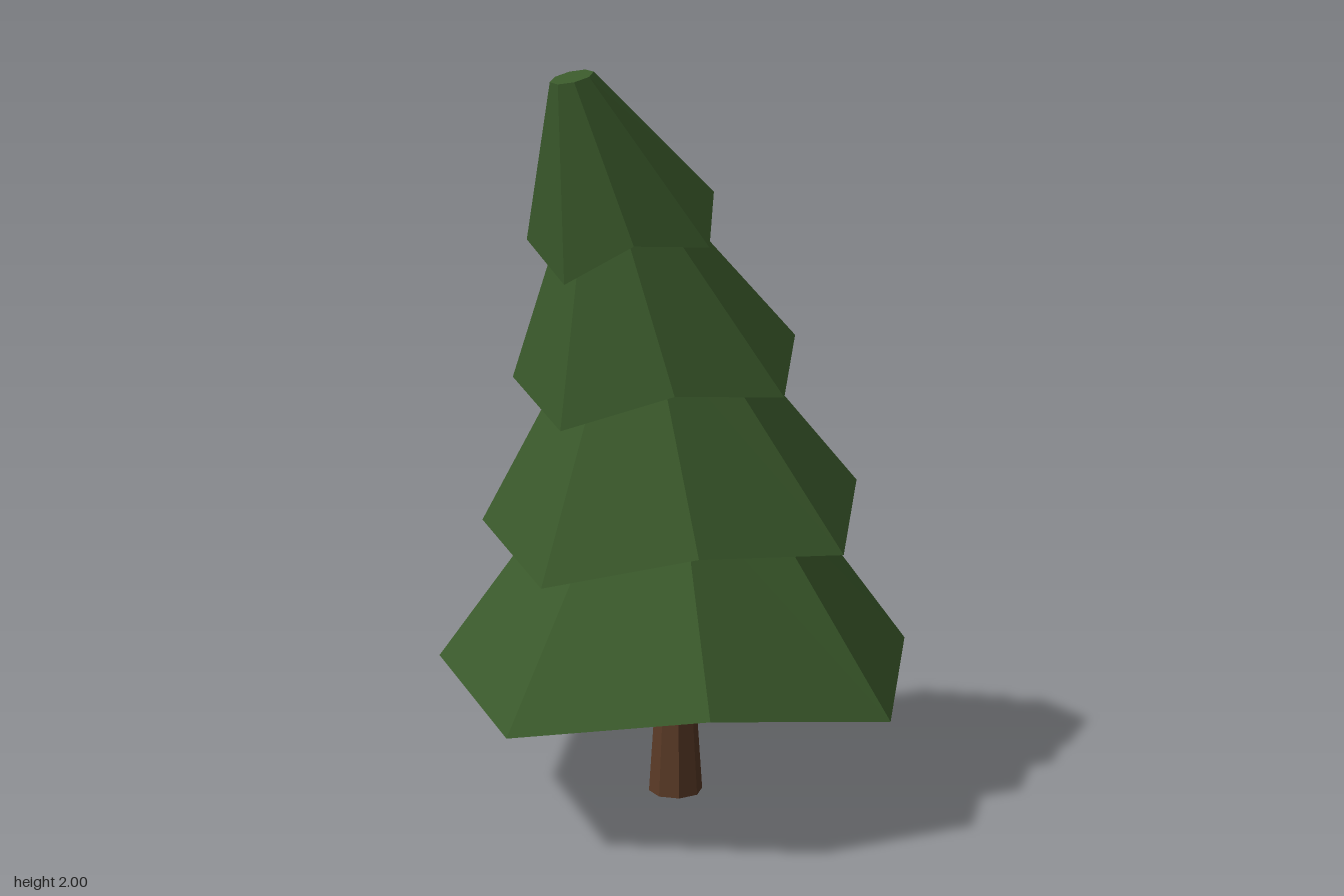
import * as THREE from 'three';

const SIDES = 8;

// One tilted ring of points; odd corners can be pulled in and lifted to scallop the rim.
function ring({ x, y, r, tilt }, lift = 0, pull = 1) {
  const axis = new THREE.Vector3(0, 0, 1);
  return Array.from({ length: SIDES }, (_, i) => {
    const a = (i / SIDES) * Math.PI * 2;
    const odd = i % 2 === 1;
    const rad = odd ? r * pull : r;
    return new THREE.Vector3(Math.cos(a) * rad, odd ? lift : 0, Math.sin(a) * rad)
      .applyAxisAngle(axis, THREE.MathUtils.degToRad(tilt))
      .add(new THREE.Vector3(x, y, 0));
  });
}

// Closed skirt of foliage between a scalloped lower rim and a small upper ring.
function tierGeometry(base, top) {
  const low = ring(base, 0.075, 0.935);
  const high = ring(top);
  const lowMid = new THREE.Vector3(base.x, base.y, 0);
  const highMid = new THREE.Vector3(top.x, top.y, 0);
  const points = [];
  for (let i = 0; i < SIDES; i++) {
    const j = (i + 1) % SIDES;
    points.push(low[i], high[i], high[j], low[i], high[j], low[j]);
    points.push(lowMid, low[i], low[j]);
    points.push(highMid, high[j], high[i]);
  }
  const geometry = new THREE.BufferGeometry().setFromPoints(points);
  geometry.computeVertexNormals();
  return geometry;
}

export function createModel() {
  const tree = new THREE.Group();
  tree.name = 'leaningPineTree';

  const bark = new THREE.MeshStandardMaterial({ color: 0x5a3a26, flatShading: true });
  const needles = new THREE.MeshStandardMaterial({ color: 0x3a592b, flatShading: true });

  // Trunk, flared at the foot
  const profile = [[0, 0], [0.076, 0], [0.061, 0.22], [0.062, 0.4], [0, 0.4]]
    .map(([r, y]) => new THREE.Vector2(r, y));
  const trunk = new THREE.Mesh(new THREE.LatheGeometry(profile, SIDES), bark);
  trunk.name = 'trunk';
  tree.add(trunk);

  // Foliage tiers, leaning further towards -x as they rise
  const tiers = [
    [{ x: 0, y: 0.345, r: 0.7, tilt: 0 }, { x: -0.03, y: 0.95, r: 0.26, tilt: 8 }],
    [{ x: -0.01, y: 0.768, r: 0.555, tilt: 6.5 }, { x: -0.125, y: 1.35, r: 0.17, tilt: 13 }],
    [{ x: -0.077, y: 1.175, r: 0.41, tilt: 10.6 }, { x: -0.28, y: 1.72, r: 0.1, tilt: 19 }],
    [{ x: -0.208, y: 1.56, r: 0.267, tilt: 19.8 }, { x: -0.422, y: 1.982, r: 0.056, tilt: 19 }],
  ];
  tiers.forEach(([base, top], i) => {
    const tier = new THREE.Mesh(tierGeometry(base, top), needles);
    tier.name = `foliageTier${i + 1}`;
    tree.add(tier);
  });

  return tree;
}
